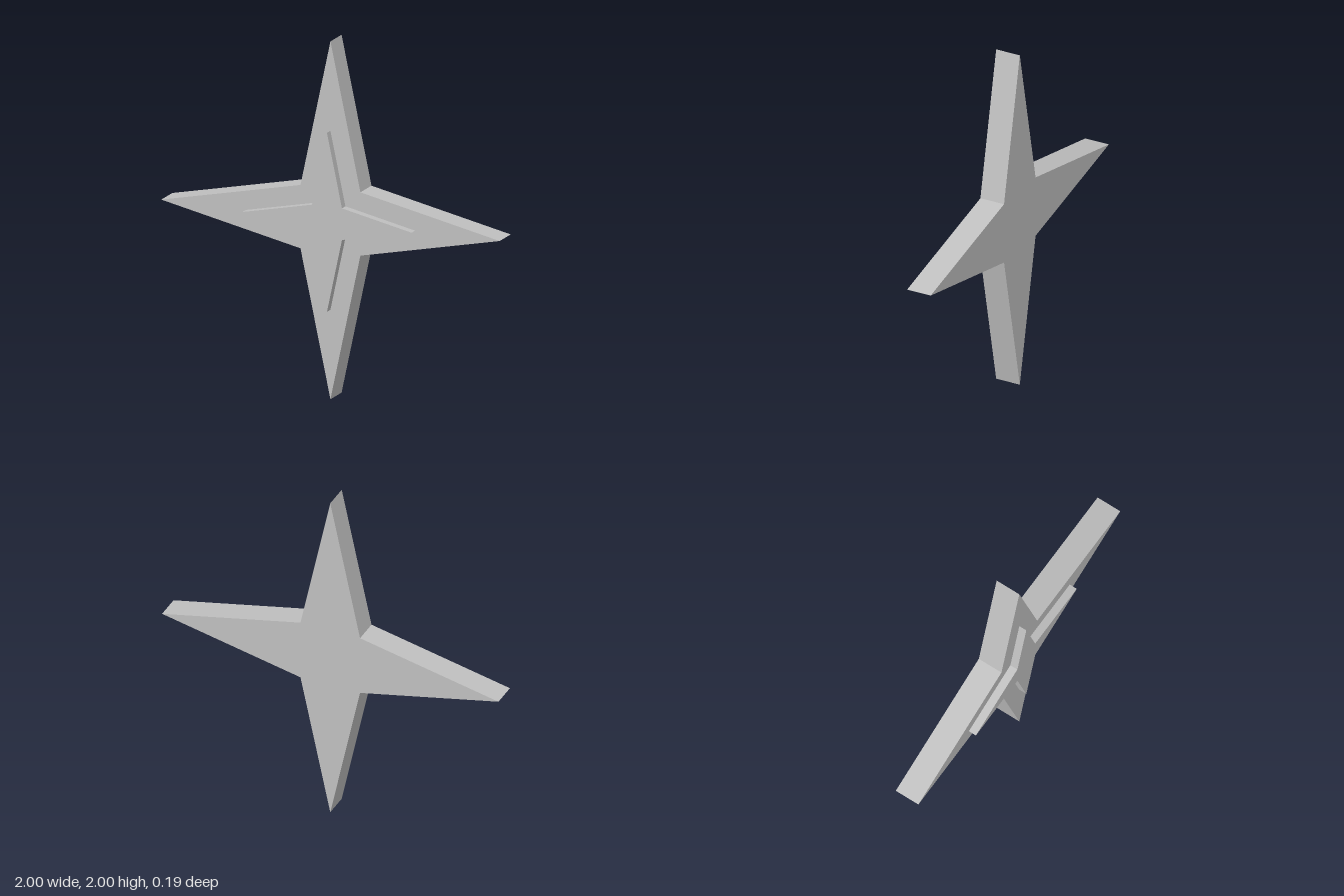
import * as THREE from 'three';

// Four-pointed star outline: long tips on the axes, notches on the diagonals
function starShape(tip, notch) {
  const points = [];
  for (let i = 0; i < 8; i++) {
    const angle = (i * Math.PI) / 4;
    const radius = i % 2 === 0 ? tip : notch * Math.SQRT2;
    points.push(new THREE.Vector2(Math.cos(angle) * radius, Math.sin(angle) * radius));
  }
  return new THREE.Shape(points);
}

// Extruded star running from zBack to zFront
function starPlate(name, tip, notch, zBack, zFront, material) {
  const geometry = new THREE.ExtrudeGeometry(starShape(tip, notch), {
    depth: zFront - zBack,
    bevelEnabled: false,
  });
  const mesh = new THREE.Mesh(geometry, material);
  mesh.name = name;
  mesh.position.set(0, 1, zBack);
  return mesh;
}

export function createModel() {
  const group = new THREE.Group();
  group.name = 'fourPointedStar';
  const grey = new THREE.MeshStandardMaterial({ color: 0xc0c0c0 });
  grey.name = 'light grey';

  // Thick main star with a half-size raised star on its front
  group.add(starPlate('starBody', 1, 0.177, -0.095, 0.05, grey));
  group.add(starPlate('raisedStar', 0.5, 0.0885, 0.05, 0.095, grey));
  return group;
}
